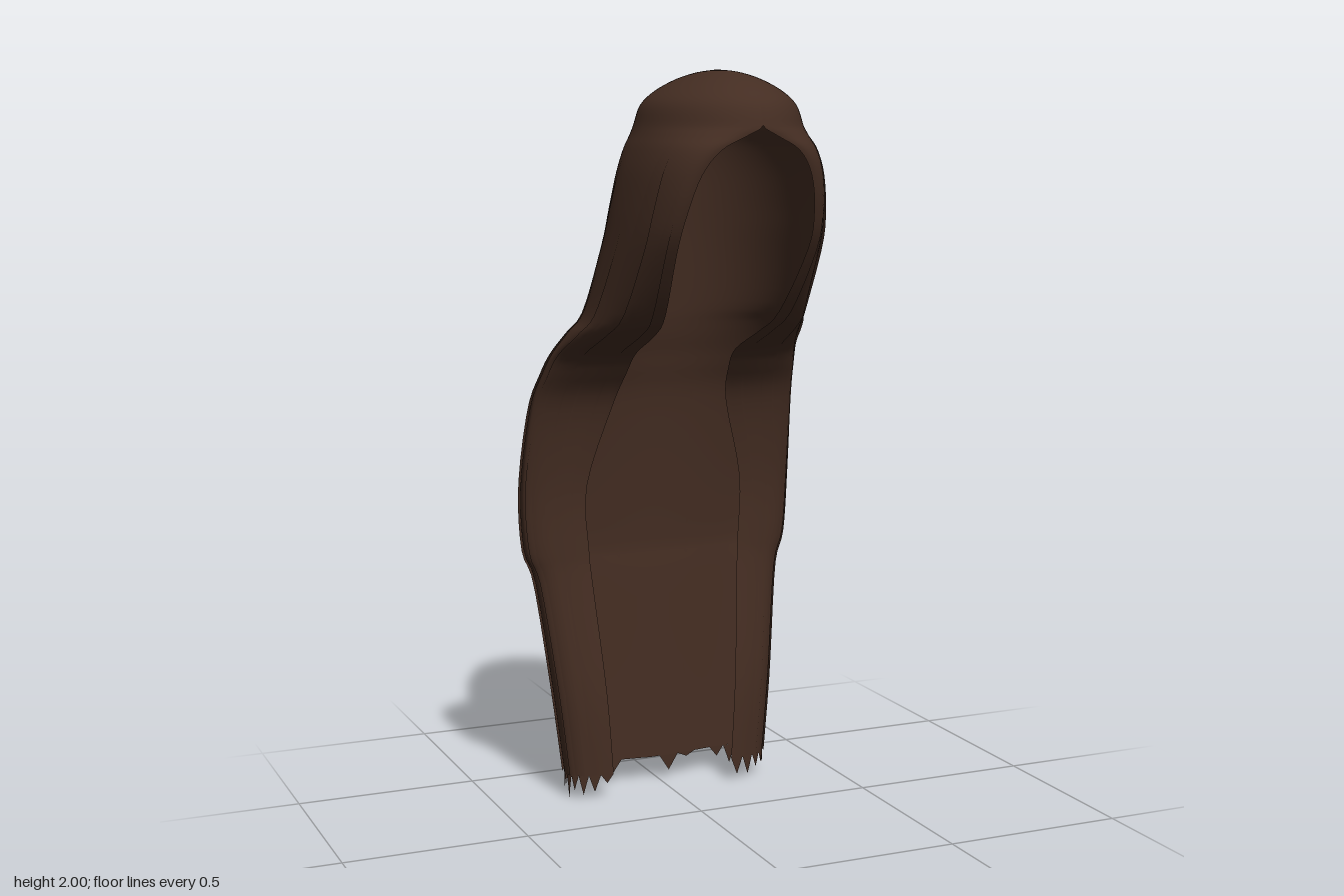
import * as THREE from 'three';

const { smoothstep } = THREE.MathUtils;

// Crown: a rounded dome growing from one point
const crown = [0, 0.3, 0.55, 0.78, 0.93].map((s) => [
  1.86 + 0.14 * Math.sqrt(1 - s * s), 0.205 * s ** 1.3, 0.1, 0.1 - 0.265 * s, 0.1 + 0.278 * s, 0,
]);

// Cross-sections below it: height, half width, z of widest point, back z, front edge z, half gap at the front
const fall = [
  [1.86, 0.205, 0.1, -0.165, 0.378, 0],
  [1.835, 0.215, 0.1, -0.174, 0.376, 0.04],
  [1.8, 0.23, 0.09, -0.184, 0.367, 0.105],
  [1.74, 0.247, 0.08, -0.196, 0.348, 0.148],
  [1.65, 0.262, 0.06, -0.21, 0.317, 0.172],
  [1.55, 0.275, 0.03, -0.225, 0.267, 0.18],
  [1.38, 0.302, -0.05, -0.247, 0.14, 0.16],
  [1.32, 0.33, -0.11, -0.257, 0.04, 0.148],
  [1.26, 0.355, -0.17, -0.272, -0.1, 0.145],
  [1.2, 0.37, -0.21, -0.295, -0.16, 0.15],
  [1.1, 0.387, -0.26, -0.335, -0.22, 0.17],
  [0.88, 0.4, -0.31, -0.375, -0.26, 0.23],
  [0.7, 0.39, -0.315, -0.395, -0.26, 0.225],
  [0.6, 0.359, -0.305, -0.388, -0.25, 0.218],
  [0.3, 0.323, -0.265, -0.37, -0.207, 0.195],
  [0.07, 0.298, -0.25, -0.352, -0.2, 0.18],
];
const sections = [...crown, ...fall];
const LAST = sections.length - 1;
const BACK = 0.62; // share of each half section that lies behind the widest point

// Smooth interpolation between the cross-sections
function sectionAt(v) {
  const i = Math.min(Math.floor(v), LAST - 1), t = v - i;
  const at = (k) => sections[Math.max(0, Math.min(LAST, k))];
  return sections[i].map((b, k) => {
    const a = at(i - 1)[k], c = at(i + 1)[k], d = at(i + 2)[k];
    return b + 0.5 * t * (c - a + t * (2 * a - 5 * b + 4 * c - d + t * (3 * (b - c) + d - a)));
  });
}

// Point of the hair surface: u runs -1..1 from edge to edge round the back, v from crown to tips
function hairPoint(u, v, lift = 0) {
  const [y, w, zw, zb, zf, rawGap] = sectionAt(v);
  const a = Math.abs(u), gap = Math.max(0, rawGap);
  let x, z;
  if (a < BACK) {
    const q = (a / BACK) * Math.PI / 2, c = Math.max(0, Math.cos(q));
    const flat = 1 - 0.5 * smoothstep(v, 12, 16), hollow = 0.05 * smoothstep(v, 13, 17);
    x = w * Math.sin(q);
    z = zw + (zb - zw) * c ** flat + hollow * c ** 4;
  } else {
    const q = ((a - BACK) / (1 - BACK)) * Math.PI / 2;
    x = gap + (w - gap) * Math.cos(q);
    z = zw + (zf - zw) * Math.sin(q);
  }
  const k = lift / (Math.hypot(x, z - zw) + 0.02);
  return [Math.sign(u) * x * (1 + k), y, z + (z - zw) * k];
}

// Sheet of hair over a range of u and v
function sheet(u0, u1, v0, v1, nu, nv, place) {
  const pos = [], idx = [];
  for (let j = 0; j <= nv; j++) {
    for (let i = 0; i <= nu; i++) {
      pos.push(...place(u0 + (u1 - u0) * i / nu, v0 + (v1 - v0) * j / nv, i / nu, j / nv));
      if (i < nu && j < nv) {
        const a = j * (nu + 1) + i, b = a + nu + 1;
        idx.push(a, a + 1, b, a + 1, b + 1, b);
      }
    }
  }
  const g = new THREE.BufferGeometry();
  g.setAttribute('position', new THREE.Float32BufferAttribute(pos, 3));
  g.setIndex(idx);
  g.computeVertexNormals();
  return g;
}

export function createModel() {
  const group = new THREE.Group();
  const brown = new THREE.MeshStandardMaterial({ color: 0x442d22, side: THREE.DoubleSide });
  brown.name = 'dark brown hair';
  const add = (name, geometry) => {
    const mesh = new THREE.Mesh(geometry, brown);
    mesh.name = name;
    group.add(mesh);
  };

  // Main fall of hair, hooded over the head and hanging down the back
  add('hairShell', sheet(-1, 1, 0, LAST, 96, LAST * 4, (u, v) => hairPoint(u, v)));

  // Thin overlapping locks with one loose edge, mirrored on both sides
  for (let i = 0; i < 7; i++) {
    for (const side of [-1, 1]) {
      const mid = side * (0.16 + 0.125 * i), half = 0.055 - 0.002 * i;
      const start = 6 + (i * 2) % 5;
      add('lock', sheet(mid - half, mid + half, start, LAST, 8, 48, (u, v, a, b) => {
        const taper = Math.min(1, 0.15 + 3 * b);
        const loose = side > 0 ? a : 1 - a;
        return hairPoint(mid + (u - mid) * taper, v, 0.007 * loose * Math.min(1, 4 * b));
      }));
    }
  }

  // Ragged pointed tips along the lower edge: few in the middle, long at the sides
  const tips = 26;
  for (let i = 0; i < tips; i++) {
    const u = -1 + 2 * i / tips, mid = Math.abs(u + 1 / tips);
    const ragged = Math.abs(Math.sin(i * 2.3));
    let drop = 0.025 + 0.03 * ragged;
    if (mid < 0.3) drop = 0.045 * smoothstep(ragged, 0.6, 0.9);
    if (i === 4 || i === tips - 5) drop = 0.07;
    add('tip', sheet(u, u + 2 / tips, 0, 1, 4, 1, (uu, v, a) => {
      const [x, y, z] = hairPoint(uu, LAST);
      return [x, y - v * drop * (1 - Math.abs(2 * a - 1)), z];
    }));
  }
  return group;
}
